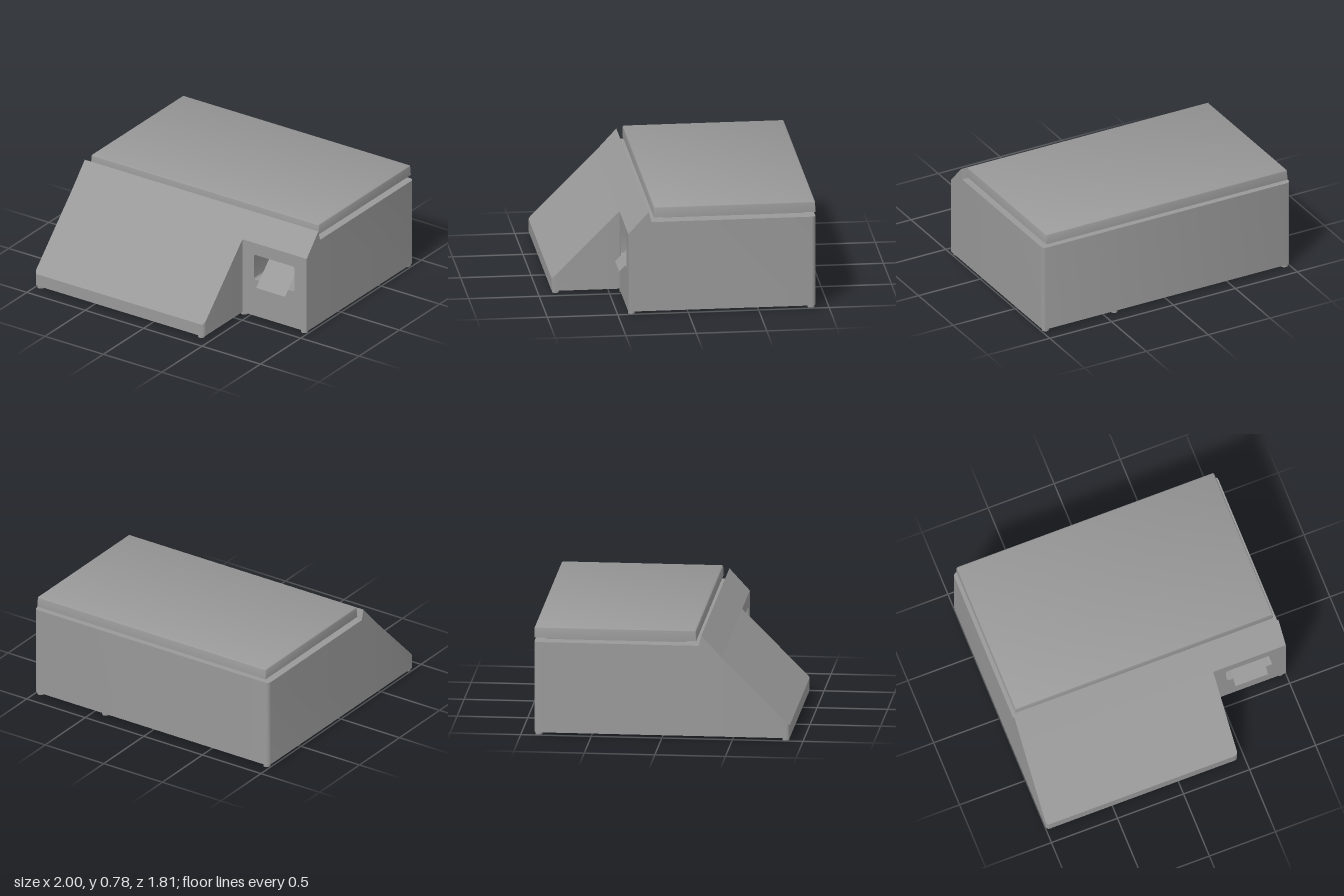
import * as THREE from 'three';
import { toCreasedNormals } from 'three/addons/utils/BufferGeometryUtils.js';
import { RoundedBoxGeometry } from 'three/addons/geometries/RoundedBoxGeometry.js';

const BASE = 0.02, BACK = -0.905, FRONT = 0.905, STEP_Z = 0.425, STEP_X = 0.45;
const LIP_TOP = 0.75, STEP_TOP = 0.592;
const noseTop = z => THREE.MathUtils.mapLinear(z, FRONT, STEP_Z, 0.11, STEP_TOP);

// Skin over upright rectangular sections [z, left x, right x, top y], in order of rising z
function loft(sections, capBack, capFront) {
  const pos = [];
  const rings = sections.map(([z, a, b, top]) =>
    [[a, BASE, z], [b, BASE, z], [b, top, z], [a, top, z]]);
  const quad = (a, b, c, d) => pos.push(...a, ...b, ...c, ...a, ...c, ...d);
  for (let i = 0; i < rings.length - 1; i++) {
    const p = rings[i], q = rings[i + 1];
    for (let k = 0; k < 4; k++) {
      const n = (k + 1) % 4;
      quad(p[k], p[n], q[n], q[k]);
    }
  }
  if (capBack) quad(...[...rings[0]].reverse());
  if (capFront) quad(...rings[rings.length - 1]);
  const geo = new THREE.BufferGeometry();
  geo.setAttribute('position', new THREE.Float32BufferAttribute(pos, 3));
  return toCreasedNormals(geo, 0.5);
}

// Rounded rectangle path
function roundRect(x0, y0, x1, y1, r) {
  const s = new THREE.Path();
  s.absarc(x1 - r, y0 + r, r, -Math.PI / 2, 0);
  s.absarc(x1 - r, y1 - r, r, 0, Math.PI / 2);
  s.absarc(x0 + r, y1 - r, r, Math.PI / 2, Math.PI);
  s.absarc(x0 + r, y0 + r, r, Math.PI, Math.PI * 1.5);
  s.closePath();
  return s;
}

function rect(x0, y0, x1, y1) {
  return new THREE.Shape([[x0, y0], [x1, y0], [x1, y1], [x0, y1]]
    .map(([x, y]) => new THREE.Vector2(x, y)));
}

// Flat-bottomed slab with rounded top edges, standing on y = 0
function platterGeometry(width, height, length, r) {
  const geo = new RoundedBoxGeometry(width, height + r, length, 3, r);
  geo.translate(0, (height - r) / 2, 0);
  const p = geo.attributes.position;
  for (let i = 0; i < p.count; i++) {
    if (p.getY(i) > 1e-5) continue;
    // Push the lower rounding out to a square rim
    if (Math.abs(p.getX(i)) > width / 2 - r - 1e-5) p.setX(i, Math.sign(p.getX(i)) * width / 2);
    if (Math.abs(p.getZ(i)) > length / 2 - r - 1e-5) p.setZ(i, Math.sign(p.getZ(i)) * length / 2);
    p.setY(i, 0);
  }
  return toCreasedNormals(geo, 0.6);
}

export function createModel() {
  const model = new THREE.Group();
  const grey = new THREE.MeshStandardMaterial({ color: 0x999999 });
  const thin = new THREE.MeshStandardMaterial({ color: 0x999999, side: THREE.DoubleSide });
  const add = (name, geo, x = 0, y = 0, z = 0, mat = grey) => {
    const mesh = new THREE.Mesh(geo, mat);
    mesh.name = name;
    mesh.position.set(x, y, z);
    model.add(mesh);
  };

  // Housing: full-width rear with rounded back corners and a raised lip
  const rear = [], nose = [[STEP_Z, -1, STEP_X, STEP_TOP]];
  for (let i = 0; i <= 5; i++) {
    const t = (i / 5) * Math.PI / 2, r = 0.03;
    const inset = r * (1 - Math.sin(t));
    rear.push([BACK + r * (1 - Math.cos(t)), -1 + inset, 1 - inset, 0.675]);
  }
  rear.push([0.26, -1, 1, 0.675], [0.28, -1, 1, LIP_TOP], [STEP_Z, -1, 1, STEP_TOP]);
  add('rearHousing', loft(rear, true, false));

  // Narrower sloping nose with rounded front corners
  for (let i = 0; i <= 5; i++) {
    const t = (i / 5) * Math.PI / 2, r = 0.025;
    const inset = r * (1 - Math.cos(t)), z = FRONT - r + r * Math.sin(t);
    nose.push([z, -1 + inset, STEP_X - inset, noseTop(z)]);
  }
  add('slopingFront', loft(nose, false, true));

  // Printer face beside the nose, with a recessed outlet
  const opening = roundRect(0.548, 0.305, 0.895, 0.5, 0.016);
  const face = rect(STEP_X, BASE, 1, STEP_TOP);
  face.holes.push(opening);
  add('printerFace', new THREE.ShapeGeometry(face), 0, 0, STEP_Z);

  const collar = rect(0.52, 0.28, 0.92, 0.525);
  collar.holes.push(opening);
  const depth = 0.2;
  add('outletWalls', toCreasedNormals(
    new THREE.ExtrudeGeometry(collar, { depth, bevelEnabled: false }), 0.5), 0, 0, STEP_Z - depth);
  add('outletBack', new THREE.ShapeGeometry(rect(0.52, 0.28, 0.92, 0.525)), 0, 0, STEP_Z - depth);

  // Label strip sliding out at 45 degrees
  const strip = new THREE.PlaneGeometry(0.247, 0.18 * Math.SQRT2);
  strip.rotateX(-Math.PI / 4);
  add('labelStrip', strip, 0.7235, 0.361, 0.383, thin);

  // Weighing platter on its support
  add('platterSupport', new THREE.BoxGeometry(1.8, 0.045, 0.995), 0, 0.6875, -0.3325);
  add('platter', platterGeometry(1.95, 0.078, 1.145, 0.012), 0, 0.702, -0.3325);

  // Feet under every corner of the stepped base
  const foot = new THREE.CylinderGeometry(0.025, 0.025, 0.03, 20);
  for (const [x, z] of [[-0.965, 0.875], [0.41, 0.875], [0.45, 0.4], [0.965, 0.4],
    [-0.965, -0.875], [0.41, -0.875], [0.965, -0.875]]) {
    add('foot', foot, x, 0.015, z);
  }
  return model;
}
